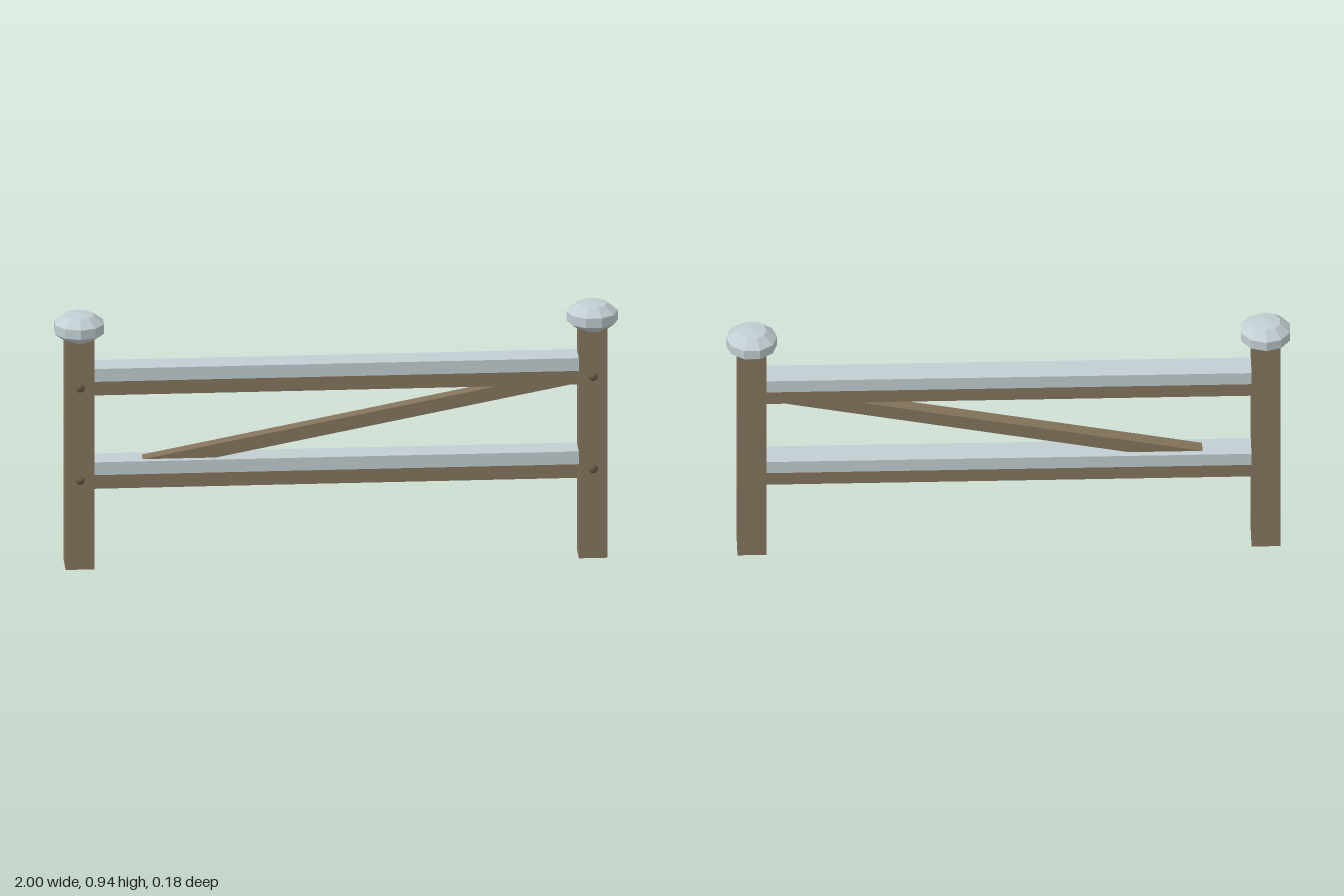
import * as THREE from 'three';

export function createModel() {
  const group = new THREE.Group();
  const mat = (name, color) => new THREE.MeshStandardMaterial({ name, color, flatShading: true });
  const wood = mat('wood', 0x84745c);
  const snow = mat('snow', 0xc2ced2);
  const bolt = mat('bolt', 0x6b5a45);

  const add = (name, geometry, material, x, y, z) => {
    const mesh = new THREE.Mesh(geometry, material);
    mesh.name = name;
    mesh.position.set(x, y, z);
    group.add(mesh);
    return mesh;
  };

  // Faceted snow cap, as a ten-sided turned profile
  const capProfile = [[0, 0.848], [0.055, 0.848], [0.091, 0.875], [0.091, 0.91], [0.054, 0.939], [0, 0.945]]
    .map(([r, y]) => new THREE.Vector2(r, y));
  const boltGeometry = new THREE.SphereGeometry(0.018, 8, 6).rotateX(Math.PI / 2).scale(1, 1, 0.72);

  // Posts with caps and front bolts
  for (const [side, x, turn] of [['right', -0.914, 0], ['left', 0.906, Math.PI / 2]]) {
    add(side + 'Post', new THREE.BoxGeometry(0.102, 0.89, 0.102), wood, x, 0.445, 0);
    add(side + 'SnowCap', new THREE.LatheGeometry(capProfile, 10, turn), snow, x, 0, 0);
    add(side + 'UpperBolt', boltGeometry, bolt, x, 0.681, 0.05);
    add(side + 'LowerBolt', boltGeometry, bolt, x, 0.335, 0.05);
  }

  // Rails, each with a layer of snow on top
  for (const [name, y] of [['upper', 0.65], ['lower', 0.3]]) {
    add(name + 'Rail', new THREE.BoxGeometry(1.74, 0.052, 0.09), wood, -0.004, y + 0.026, 0);
    add(name + 'RailSnow', new THREE.BoxGeometry(1.74, 0.048, 0.096), snow, -0.004, y + 0.076, 0);
  }

  // Diagonal brace with ends cut flush to the rails
  const braceShape = new THREE.Shape([[-0.69, 0.4], [-0.43, 0.4], [0.86, 0.65], [0.6, 0.65]]
    .map(([x, y]) => new THREE.Vector2(x, y)));
  add('brace', new THREE.ExtrudeGeometry(braceShape, { depth: 0.05, bevelEnabled: false }), wood, 0, 0, -0.025);

  return group;
}
